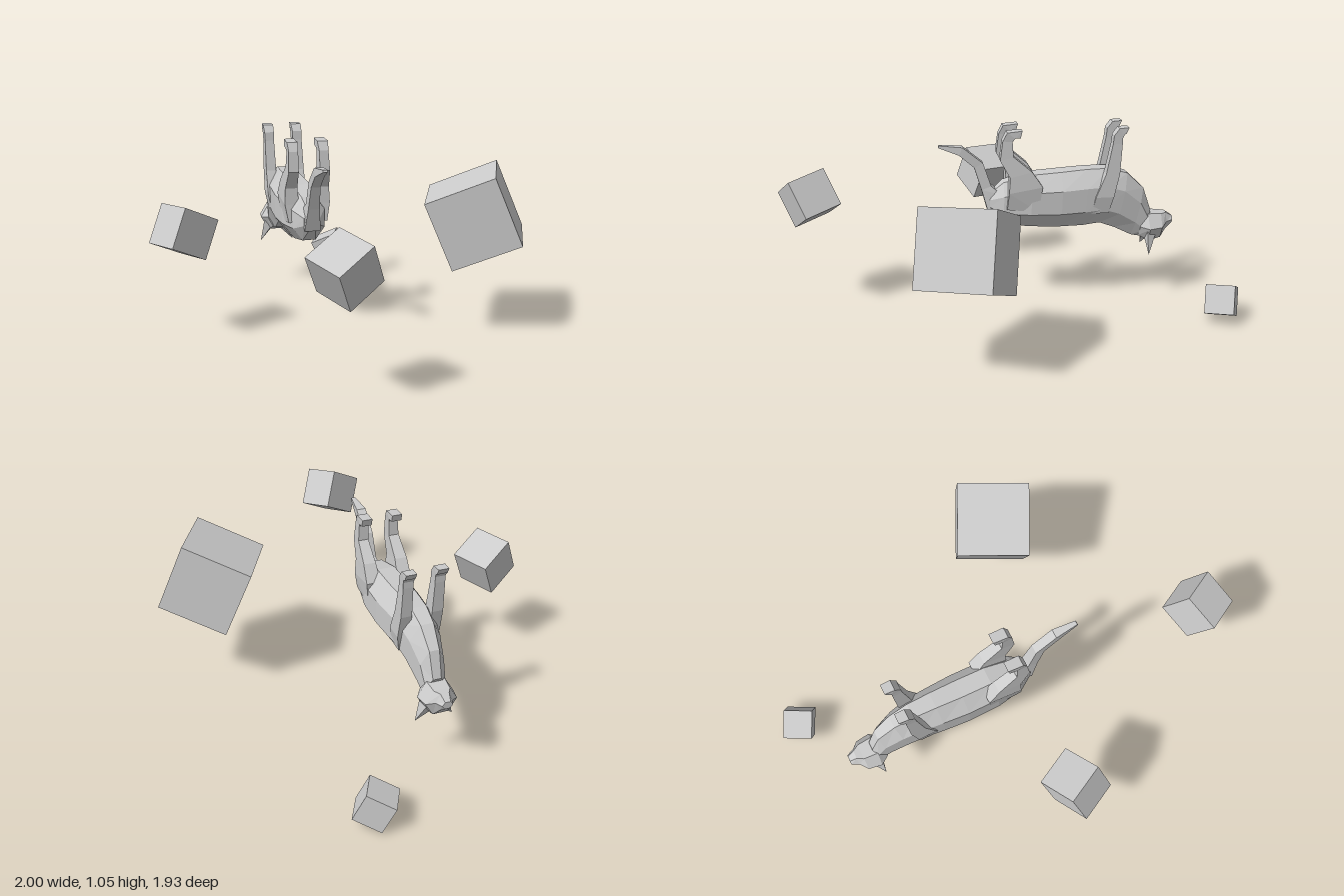
import * as THREE from 'three';

const material = new THREE.MeshStandardMaterial({ color: 0xcccccc, flatShading: true });

// Skin a row of rings. Each section is [x1, y1, x2, y2, halfWidth, sideOffset]:
// two opposite points in the animal's mid-plane plus the ring's width across it.
function loft(name, sides, sections, sideSign = 1) {
  const grow = 1 / Math.cos(Math.PI / sides); // flats, not corners, touch the given points
  const rings = sections.map(([x1, y1, x2, y2, half, offset = 0]) => {
    const ring = [];
    for (let i = 0; i < sides; i++) {
      const t = ((i + 0.5) / sides) * Math.PI * 2;
      const c = (Math.cos(t) * grow) / 2;
      ring.push(new THREE.Vector3(
        (x1 + x2) / 2 + (x1 - x2) * c,
        (y1 + y2) / 2 + (y1 - y2) * c,
        offset * sideSign + half * Math.sin(t) * grow
      ));
    }
    return ring;
  });
  const points = [];
  for (let k = 0; k < rings.length - 1; k++) {
    for (let i = 0; i < sides; i++) {
      const j = (i + 1) % sides;
      const [a, b, c, d] = [rings[k][i], rings[k][j], rings[k + 1][j], rings[k + 1][i]];
      points.push(a, b, d, b, c, d);
    }
  }
  const first = rings[0], last = rings[rings.length - 1];
  for (let i = 1; i < sides - 1; i++) {
    points.push(first[0], first[i + 1], first[i], last[0], last[i], last[i + 1]);
  }
  const geometry = new THREE.BufferGeometry().setFromPoints(points);
  geometry.computeVertexNormals();
  const mesh = new THREE.Mesh(geometry, material);
  mesh.name = name;
  return mesh;
}

// Tumbling cube from its centre, size and two of its edge directions
function cube(name, size, center, edgeA, edgeB) {
  const x = new THREE.Vector3(...edgeA).normalize();
  const z = new THREE.Vector3().crossVectors(x, new THREE.Vector3(...edgeB)).normalize();
  const y = new THREE.Vector3().crossVectors(z, x);
  const mesh = new THREE.Mesh(new THREE.BoxGeometry(size, size, size), material);
  mesh.quaternion.setFromRotationMatrix(new THREE.Matrix4().makeBasis(x, y, z));
  mesh.position.set(...center);
  mesh.name = name;
  return mesh;
}

// Upside-down cat, built along +x with its legs pointing up
function createCat() {
  const cat = new THREE.Group();
  cat.name = 'cat';

  // Rump, belly, chest and neck
  cat.add(loft('body', 8, [
    [-0.09, 0.67, -0.09, 0.57, 0.045],
    [-0.01, 0.74, -0.02, 0.50, 0.09],
    [0.15, 0.78, 0.13, 0.475, 0.118],
    [0.32, 0.79, 0.31, 0.465, 0.12],
    [0.47, 0.80, 0.45, 0.465, 0.11],
    [0.60, 0.80, 0.55, 0.475, 0.10],
    [0.71, 0.765, 0.64, 0.44, 0.085],
    [0.81, 0.67, 0.745, 0.385, 0.065],
    [0.86, 0.53, 0.81, 0.37, 0.055],
  ]));

  // Skull tapering to the muzzle
  cat.add(loft('head', 6, [
    [0.80, 0.50, 0.79, 0.38, 0.055],
    [0.84, 0.515, 0.85, 0.35, 0.085],
    [0.92, 0.51, 0.92, 0.365, 0.075],
    [0.955, 0.51, 0.955, 0.41, 0.04],
    [0.995, 0.485, 0.995, 0.445, 0.025],
  ]));

  // Curved tail
  cat.add(loft('tail', 4, [
    [-0.10, 0.57, -0.02, 0.67, 0.045],
    [-0.135, 0.70, -0.08, 0.72, 0.032],
    [-0.175, 0.83, -0.125, 0.855, 0.026],
    [-0.26, 0.905, -0.24, 0.95, 0.026],
    [-0.375, 0.95, -0.37, 0.962, 0.012],
  ]));

  for (const side of [1, -1]) {
    const label = side > 0 ? 'Left' : 'Right';

    // Front leg with hooked paw
    cat.add(loft('front' + label + 'Leg', 4, [
      [0.49, 0.55, 0.59, 0.55, 0.028, 0.07],
      [0.51, 0.65, 0.615, 0.65, 0.032, 0.085],
      [0.565, 0.785, 0.645, 0.785, 0.03, 0.085],
      [0.60, 0.96, 0.655, 0.96, 0.027, 0.085],
      [0.605, 1.01, 0.655, 0.995, 0.028, 0.085],
      [0.635, 1.05, 0.665, 1.015, 0.03, 0.085],
      [0.69, 1.053, 0.675, 1.02, 0.028, 0.085],
    ], side));

    // Hind leg: thigh, hock and hooked paw
    cat.add(loft('hind' + label + 'Leg', 4, [
      [0.00, 0.60, 0.18, 0.58, 0.035, 0.075],
      [0.01, 0.70, 0.20, 0.73, 0.04, 0.088],
      [0.015, 0.79, 0.14, 0.82, 0.034, 0.09],
      [-0.04, 0.89, 0.035, 0.91, 0.028, 0.088],
      [-0.025, 1.00, 0.03, 0.995, 0.026, 0.085],
      [0.00, 1.048, 0.045, 1.015, 0.03, 0.085],
      [0.085, 1.055, 0.075, 1.015, 0.028, 0.085],
    ], side));

    // Pointed ear, splayed outwards
    const ear = new THREE.Mesh(new THREE.ConeGeometry(0.048, 0.13, 4), material);
    ear.name = 'ear' + label;
    ear.scale.x = 0.8;
    const direction = new THREE.Vector3(-0.12, -0.85, 0.45 * side).normalize();
    ear.quaternion.setFromUnitVectors(new THREE.Vector3(0, 1, 0), direction);
    ear.position.set(0.84, 0.28, 0.103 * side).addScaledVector(direction, -0.065);
    cat.add(ear);
  }

  cat.rotation.y = 0.988;
  cat.position.set(-0.142, 0, -0.0935);
  return cat;
}

export function createModel() {
  const model = new THREE.Group();
  model.name = 'fallingCatWithCubes';
  model.add(createCat());
  model.add(
    cube('largeCube', 0.401, [0.414, 0.653, 0.635], [0.341, 0.024, -0.212], [0.102, -0.37, 0.121]),
    cube('smallCube', 0.163, [0.873, 0.115, -0.833], [0.144, 0.011, -0.083], [0.045, -0.146, 0.052]),
    cube('frontCube', 0.225, [-0.838, 0.655, 0.77], [-0.192, -0.107, -0.037], [0.112, -0.19, -0.032]),
    cube('backCube', 0.225, [-0.736, 0.6, -0.45], [0.197, -0.095, 0.027], [0.032, -0.015, -0.224])
  );
  return model;
}
